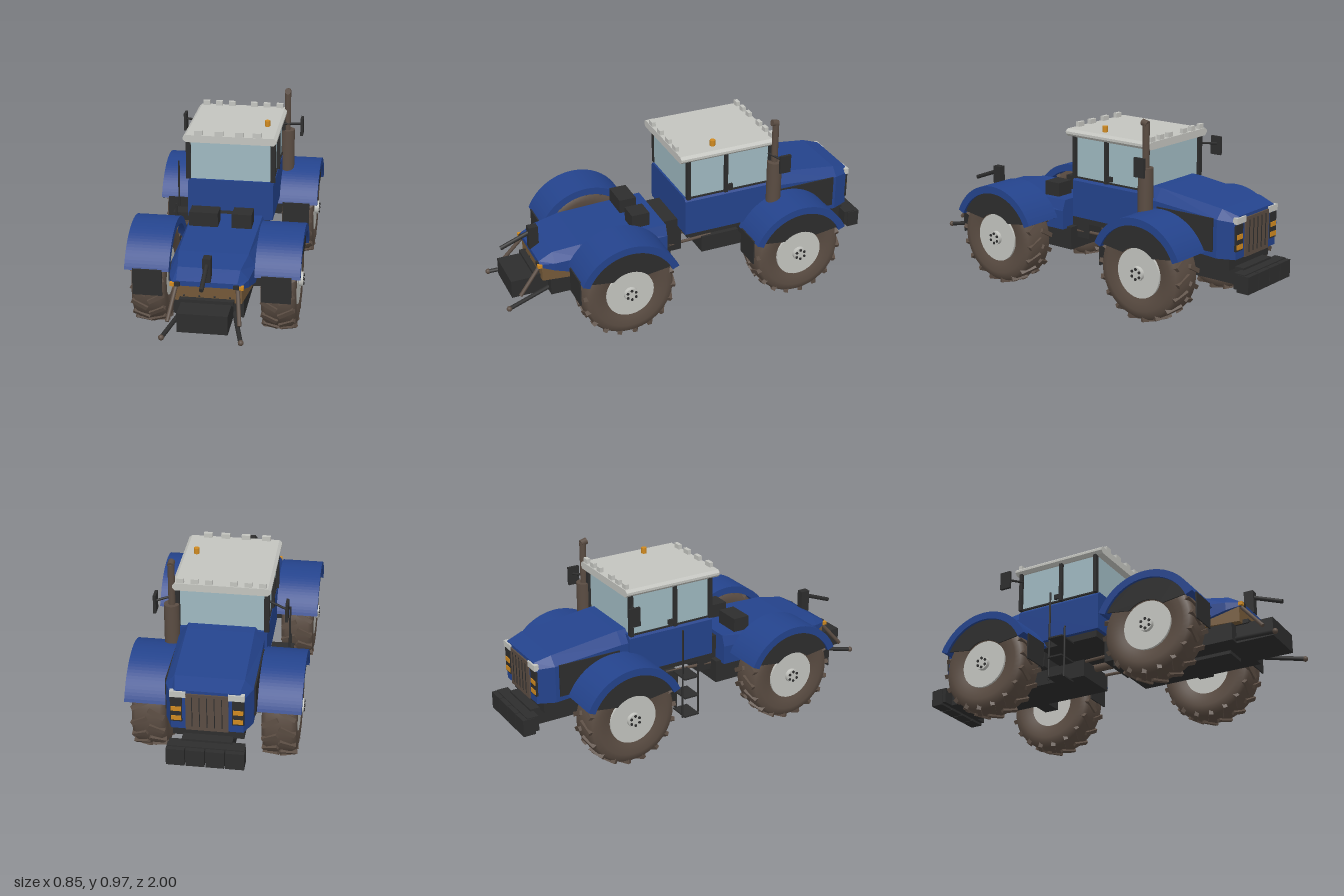
import * as THREE from 'three';

const mat = (name, color) => Object.assign(new THREE.MeshStandardMaterial({ color }), { name });

export function createModel() {
  const root = new THREE.Group();
  root.name = 'tractor';
  const blue = mat('blue paint', 0x24438c), black = mat('black', 0x2d2d2d), tyreBrown = mat('tyre brown', 0x5a4c42),
    grey = mat('light grey', 0xc3c4bf), glass = mat('glass', 0x9fb9c1), orange = mat('orange', 0xd08a20),
    rust = mat('rust brown', 0x735838);
  blue.side = THREE.DoubleSide;

  const add = (name, geo, m, x = 0, y = 0, z = 0, parent = root) => {
    const mesh = new THREE.Mesh(geo, m);
    mesh.name = name;
    mesh.position.set(x, y, z);
    parent.add(mesh);
    return mesh;
  };
  // box given by its low and high corners
  const box = (name, m, x0, x1, y0, y1, z0, z1, parent = root) =>
    add(name, new THREE.BoxGeometry(x1 - x0, y1 - y0, z1 - z0), m, (x0 + x1) / 2, (y0 + y1) / 2, (z0 + z1) / 2, parent);
  // round bar between two points
  const rod = (name, m, p, q, r) => {
    const a = new THREE.Vector3(...p), b = new THREE.Vector3(...q), d = b.clone().sub(a);
    const mesh = add(name, new THREE.CylinderGeometry(r, r, d.length(), 10), m);
    mesh.position.copy(a).add(b).multiplyScalar(0.5);
    mesh.quaternion.setFromUnitVectors(new THREE.Vector3(0, 1, 0), d.normalize());
    return mesh;
  };
  // chamfered body from sections [z, bottom, side x, shoulder y, top x, top y], z rising
  const loft = (name, m, sections) => {
    const rings = sections.map(([z, yb, ws, ys, wt, yt]) =>
      [[ws, yb, z], [ws, ys, z], [wt, yt, z], [-wt, yt, z], [-ws, ys, z], [-ws, yb, z]]);
    const pos = [], tri = (...p) => p.forEach((v) => pos.push(...v));
    for (let s = 0; s < rings.length - 1; s++) for (let i = 0; i < 6; i++) {
      const a = rings[s], b = rings[s + 1], j = (i + 1) % 6;
      tri(a[i], a[j], b[j]);
      tri(a[i], b[j], b[i]);
    }
    const first = rings[0], last = rings[rings.length - 1];
    for (let i = 1; i < 5; i++) {
      tri(last[0], last[i], last[i + 1]);
      tri(first[0], first[i + 1], first[i]);
    }
    const geo = new THREE.BufferGeometry();
    geo.setAttribute('position', new THREE.Float32BufferAttribute(pos, 3));
    geo.computeVertexNormals();
    return add(name, geo, m);
  };
  // ring sector in the side plane, extruded along x from 0
  const sector = (rOut, rIn, aOut, aIn, depth) => {
    const s = new THREE.Shape();
    s.absarc(0, 0, rOut, aOut, Math.PI - aOut, false);
    s.absarc(0, 0, rIn, Math.PI - aIn, aIn, true);
    return new THREE.ExtrudeGeometry(s, { depth, bevelEnabled: false, curveSegments: 20 }).rotateY(Math.PI / 2);
  };

  // Wheels, fenders and flaps
  const tyreGeo = new THREE.LatheGeometry([[0.12, -0.07], [0.15, -0.08], [0.19, -0.087], [0.222, -0.08], [0.237, -0.06],
    [0.241, 0], [0.237, 0.06], [0.222, 0.08], [0.19, 0.087], [0.15, 0.08], [0.12, 0.07]]
    .map(([r, h]) => new THREE.Vector2(r, h)), 48).rotateZ(-Math.PI / 2);
  const fenderGeo = sector(0.276, 0.238, 0.41, 0.41, 0.218);
  const guardGeo = sector(0.24, 0.128, 0.47, 0.8, 0.006);
  for (const z of [0.425, -0.515]) for (const side of [1, -1]) {
    const wheel = new THREE.Group();
    wheel.name = 'wheel';
    wheel.position.set(side * 0.3175, 0.25, z);
    wheel.rotation.y = side > 0 ? 0 : Math.PI;
    root.add(wheel);
    add('tyre', tyreGeo, tyreBrown, 0, 0, 0, wheel);
    for (let i = 0; i < 36; i++) {
      const pivot = new THREE.Group(), s = i % 2 ? 1 : -1;
      pivot.name = 'treadPivot';
      pivot.rotation.x = (i / 36) * Math.PI * 2;
      wheel.add(pivot);
      const lug = add('treadLug', new THREE.BoxGeometry(0.085, 0.026, 0.022), tyreBrown, s * 0.041, 0.235, 0, pivot);
      lug.rotation.set(0, side * s * 0.5, -s * 0.12);
    }
    const disc = (name, r, h, m, x, y = 0, zz = 0) =>
      add(name, new THREE.CylinderGeometry(r, r, h, 32).rotateZ(Math.PI / 2), m, x, y, zz, wheel);
    disc('rim', 0.125, 0.15, grey, 0.008);
    disc('hub', 0.036, 0.02, grey, 0.093);
    for (let i = 0; i < 6; i++) {
      const a = (i / 6) * Math.PI * 2;
      disc('wheelBolt', 0.007, 0.008, black, 0.103, Math.cos(a) * 0.025, Math.sin(a) * 0.025);
    }
    add('fender', fenderGeo, blue, side > 0 ? 0.207 : -0.425, 0.252, z);
    add('fenderGuard', guardGeo, black, side > 0 ? 0.405 : -0.411, 0.25, z);
    const x0 = side > 0 ? 0.24 : -0.385;
    box('mudFlap', black, x0, x0 + 0.145, 0.235, 0.37, z + 0.25, z + 0.257);
  }
  for (const z of [0.425, -0.515]) box('axle', black, -0.25, 0.25, 0.215, 0.288, z - 0.04, z + 0.04);

  // Chassis and joint
  box('frontFrame', black, -0.17, 0.17, 0.19, 0.31, 0.11, 0.76);
  box('hitchBox', black, -0.12, 0.12, 0.19, 0.285, 0.76, 0.95);
  box('hitchPlate', black, -0.13, 0.13, 0.28, 0.3, 0.76, 0.83);
  box('underPlate', black, -0.06, 0.06, 0.173, 0.19, 0.3, 0.7);
  box('rearFrame', black, -0.12, 0.12, 0.2, 0.29, -0.93, -0.09);
  box('engineBase', black, -0.17, 0.17, 0.28, 0.4, -0.88, -0.3);
  box('jointBlock', black, -0.12, 0.12, 0.25, 0.435, 0.03, 0.15);
  box('cabFloor', black, -0.2, 0.2, 0.36, 0.4, -0.41, 0.03);
  rod('driveShaft', tyreBrown, [0, 0.285, 0.12], [0, 0.285, -0.12], 0.02);
  for (const s of [-1, 1]) rod('steeringRod', tyreBrown, [s * 0.12, 0.285, 0.2], [s * 0.1, 0.285, -0.15], 0.008);

  // Low body over the +z axle
  loft('lowBody', blue, [[0.14, 0.3, 0.2, 0.4, 0.18, 0.455], [0.6, 0.3, 0.205, 0.39, 0.17, 0.445],
    [0.74, 0.34, 0.19, 0.38, 0.15, 0.425], [0.81, 0.36, 0.165, 0.375, 0.145, 0.385]]);
  loft('lowBodyEnd', rust, [[0.6, 0.28, 0.19, 0.34, 0.19, 0.37], [0.8, 0.28, 0.165, 0.34, 0.165, 0.365]]);
  for (let i = 0; i < 4; i++)
    add('endBolt', new THREE.SphereGeometry(0.005, 8, 6), black, -0.11 + i * 0.0733, 0.308, 0.801);
  box('toolBox', black, -0.17, -0.025, 0.44, 0.525, 0.22, 0.31);
  box('airBox', black, 0.045, 0.145, 0.44, 0.525, 0.215, 0.31);
  box('hitchMast', black, -0.019, 0.019, 0.385, 0.505, 0.765, 0.815);
  rod('topLink', black, [0, 0.475, 0.8], [0, 0.415, 0.96], 0.011);
  for (const s of [-1, 1]) {
    box('markerLamp', orange, s * 0.165 - 0.01, s * 0.165 + 0.01, 0.36, 0.377, 0.8, 0.822);
    box('lampBracket', black, s * 0.14 - 0.013, s * 0.14 + 0.013, 0.36, 0.38, 0.795, 0.82);
    rod('liftRod', tyreBrown, [s * 0.145, 0.365, 0.8], [s * 0.17, 0.225, 0.92], 0.01);
    rod('lowerLink', black, [s * 0.125, 0.21, 0.76], [s * 0.185, 0.175, 0.985], 0.011);
    add('linkBall', new THREE.SphereGeometry(0.014, 12, 8), tyreBrown, s * 0.186, 0.175, 0.986);
  }

  // Cab
  loft('cabBase', blue, [[-0.43, 0.395, 0.222, 0.585, 0.207, 0.602], [0.05, 0.395, 0.222, 0.585, 0.207, 0.602]]);
  box('cabGlass', glass, -0.215, 0.215, 0.6, 0.815, -0.415, 0.04);
  for (const s of [-1, 1]) {
    for (const z of [0.034, -0.172, -0.42])
      box('cabPillar', black, s * 0.219 - 0.013, s * 0.219 + 0.013, 0.6, 0.815, z - 0.009, z + 0.009);
    box('windowRail', black, s * 0.217 - 0.005, s * 0.217 + 0.005, 0.6, 0.608, -0.42, 0.04);
    box('doorHandle', black, s * 0.224 - 0.007, s * 0.224 + 0.007, 0.615, 0.64, -0.21, -0.18);
    // Mirrors
    box('mirror', black, s * 0.32 - 0.007, s * 0.32 + 0.007, 0.697, 0.793, -0.485, -0.425);
    rod('mirrorArm', black, [s * 0.22, 0.768, -0.41], [s * 0.32, 0.755, -0.462], 0.006);
  }
  loft('roof', grey, [[-0.45, 0.812, 0.225, 0.812, 0.225, 0.85], [0.08, 0.812, 0.225, 0.812, 0.225, 0.85]]);
  for (const s of [-1, 1]) {
    const edge = new THREE.Shape([[0, 0.812], [0.015, 0.826], [0.015, 0.838], [0, 0.85]].map((p) => new THREE.Vector2(...p)));
    const g = add('roofEdge', new THREE.ExtrudeGeometry(edge, { depth: 0.53, bevelEnabled: false }), grey, s * 0.225, 0, s > 0 ? -0.45 : 0.08);
    g.rotation.y = s > 0 ? 0 : Math.PI;
  }
  for (const x of [-0.16, -0.055, 0.05, 0.14]) box('roofLamp', grey, x - 0.022, x + 0.022, 0.85, 0.874, 0.058, 0.078);
  for (const x of [-0.2, -0.13, -0.06, 0.06, 0.13, 0.2]) box('roofLamp', grey, x - 0.018, x + 0.018, 0.85, 0.874, -0.445, -0.425);
  add('beacon', new THREE.CylinderGeometry(0.014, 0.014, 0.032, 16), orange, 0.17, 0.864, -0.12);

  // Engine hood
  loft('hood', blue, [[-0.915, 0.34, 0.17, 0.52, 0.15, 0.55], [-0.83, 0.34, 0.207, 0.53, 0.165, 0.575],
    [-0.47, 0.37, 0.21, 0.56, 0.165, 0.618], [-0.42, 0.37, 0.21, 0.56, 0.165, 0.62]]);
  for (const s of [-1, 1]) {
    box('sideGrille', black, s * 0.211 - 0.004, s * 0.211 + 0.004, 0.37, 0.535, -0.81, -0.48);
    box('headlamp', grey, s * 0.137 - 0.038, s * 0.137 + 0.038, 0.515, 0.545, -0.924, -0.9);
    for (const y of [0.4, 0.45]) box('turnLamp', orange, s * 0.145 - 0.024, s * 0.145 + 0.024, y - 0.012, y + 0.012, -0.922, -0.9);
    box('lampSurround', black, s * 0.145 - 0.028, s * 0.145 + 0.028, 0.38, 0.51, -0.919, -0.905);
  }
  box('grille', tyreBrown, -0.1, 0.1, 0.34, 0.535, -0.923, -0.9);
  for (let i = 0; i < 5; i++) box('grilleSlat', black, -0.072 + i * 0.035, -0.068 + i * 0.035, 0.36, 0.52, -0.926, -0.922);

  // Weights
  box('weightCarrier', black, -0.18, 0.18, 0.2, 0.28, -0.975, -0.915);
  for (let i = 0; i < 4; i++) box('weight', black, -0.184 + i * 0.0935, -0.096 + i * 0.0935, 0.188, 0.275, -1, -0.935);

  // Exhaust
  add('muffler', new THREE.CylinderGeometry(0.038, 0.038, 0.24, 24), tyreBrown, 0.245, 0.61, -0.435);
  rod('exhaustPipe', tyreBrown, [0.243, 0.72, -0.435], [0.243, 0.945, -0.435], 0.017);
  rod('exhaustTip', tyreBrown, [0.243, 0.942, -0.445], [0.243, 0.95, -0.413], 0.017);

  // Ladder
  for (const z of [-0.09, -0.18]) rod('ladderRail', black, [-0.312, 0.125, z], [-0.312, z < -0.1 ? 0.61 : 0.4, z], 0.005);
  for (const y of [0.135, 0.24, 0.345]) box('ladderStep', black, -0.33, -0.215, y - 0.004, y + 0.004, -0.178, -0.095);
  return root;
}
